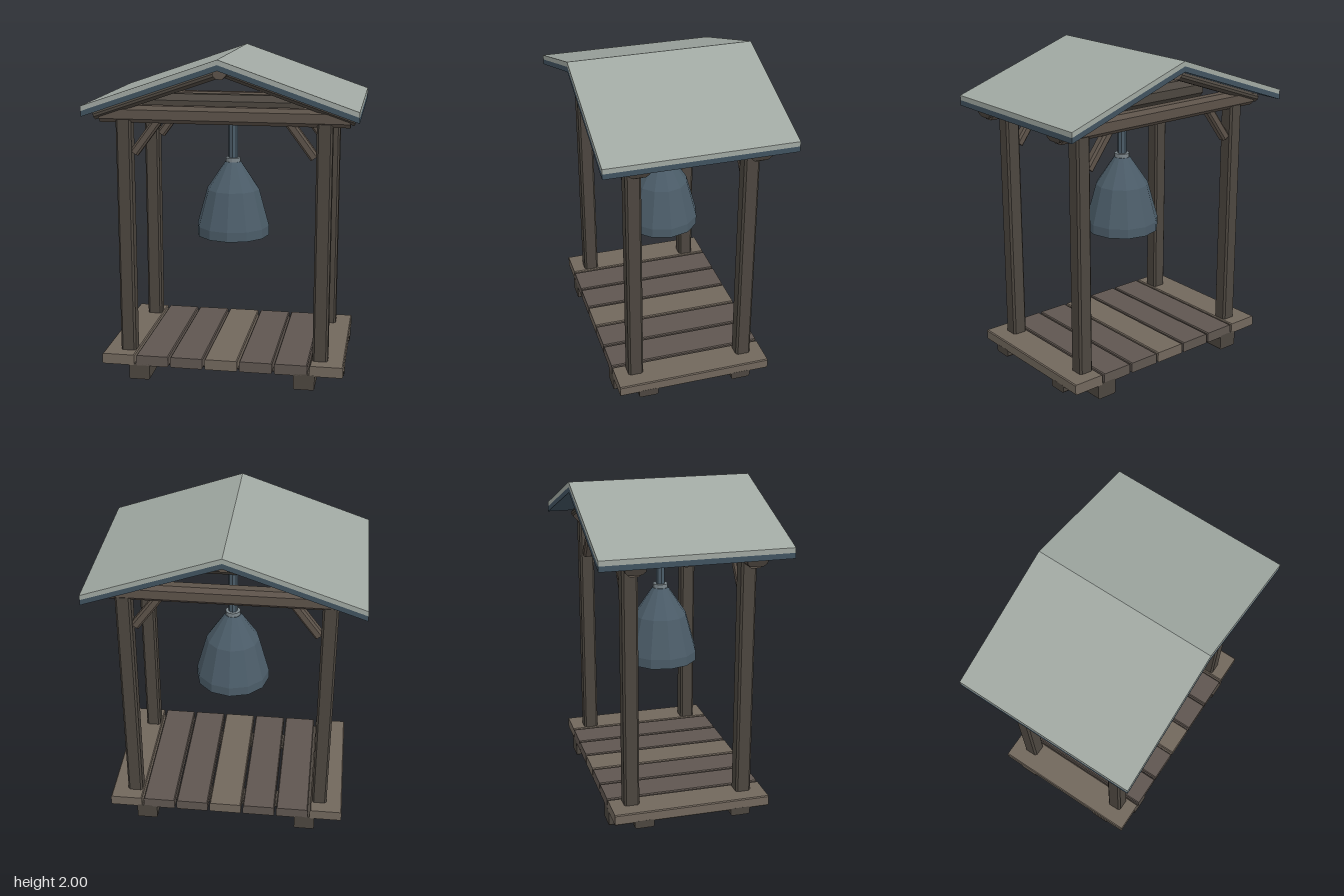
import * as THREE from 'three';

const mat = (color, side = THREE.FrontSide) =>
  new THREE.MeshStandardMaterial({ color, flatShading: true, side });

const WOOD = mat(0x4c463f), BEAM = mat(0x5c5249);
const PLANK_LIGHT = mat(0x71675c), PLANK_DARK = mat(0x5f5650);
const METAL = mat(0x4b5c68, THREE.DoubleSide), COLLAR = mat(0x7c868b);
const ROOF_TOP = mat(0xa0a8a2), ROOF_UNDER = mat(0x40525f);

export function createModel() {
  const model = new THREE.Group();

  const add = (name, geometry, material, parent = model) => {
    const mesh = new THREE.Mesh(geometry, material);
    mesh.name = name;
    parent.add(mesh);
    return mesh;
  };

  // Chamfered bar from a to b; t = thickness across, d = depth
  // (along z for bars lying in the xy plane, along y for bars running in z)
  const bar = (name, a, b, t, d, c, material) => {
    const A = new THREE.Vector3(...a), B = new THREE.Vector3(...b);
    const x = t / 2, y = d / 2;
    const shape = new THREE.Shape([
      [x, c - y], [x, y - c], [x - c, y], [c - x, y],
      [-x, y - c], [-x, c - y], [c - x, -y], [x - c, -y],
    ].map(p => new THREE.Vector2(...p)));
    const geometry = new THREE.ExtrudeGeometry(shape, { depth: A.distanceTo(B), bevelEnabled: false });
    const mesh = add(name, geometry, material);
    mesh.position.copy(A);
    if (a[2] === b[2]) mesh.up.set(0, 0, 1);
    mesh.lookAt(B);
    return mesh;
  };

  // Platform
  for (let i = 0; i < 7; i++) {
    const x = (i - 3) * 0.216;
    bar('floorPlank', [x, 0.123, -0.48], [x, 0.123, 0.48], 0.203, 0.066, 0.006,
      i % 3 === 0 ? PLANK_LIGHT : PLANK_DARK);
  }
  for (const s of [-1, 1]) {
    bar('skid', [s * 0.513, 0.05, -0.48], [s * 0.513, 0.05, 0.48], 0.13, 0.1, 0.006, WOOD);
    bar('crossBeam', [-0.75, 0.077, s * 0.3], [0.75, 0.077, s * 0.3], 0.048, 0.12, 0.008, WOOD);
  }

  // Frame: posts, tie beams, braces and rafters
  const slope = 0.28 / 0.81;
  for (const z of [-0.352, 0.352]) {
    bar('tieBeam', [-0.75, 1.652, z], [0.75, 1.652, z], 0.104, 0.1, 0.024, BEAM);
    for (const s of [-1, 1]) {
      bar('post', [s * 0.603, 0.14, z], [s * 0.603, 1.62, z], 0.094, 0.094, 0.012, WOOD);
      bar('brace', [s * 0.545, 1.415, z], [s * 0.385, 1.63, z], 0.056, 0.06, 0.012, BEAM);
      bar('rafter', [0, 1.912, z], [s * 0.782, 1.912 - 0.782 * slope, z], 0.056, 0.12, 0.02, WOOD);
    }
  }

  // Ridge pole and hanging beam
  const ridge = add('ridgePole', new THREE.CylinderGeometry(0.045, 0.045, 1, 8), BEAM);
  ridge.rotation.set(Math.PI / 2, Math.PI / 8, 0);
  ridge.position.y = 1.922;
  bar('hangingBeam', [-0.63, 1.667, 0], [0.63, 1.667, 0], 0.132, 0.132, 0.038, WOOD);

  // Roof: a light covering over a dark underlayer
  const roofLayer = (name, top, thickness, material) => {
    const shape = new THREE.Shape([
      [-0.81, top - 0.28], [-0.81, top - 0.28 - thickness], [0, top - thickness],
      [0.81, top - 0.28 - thickness], [0.81, top - 0.28], [0, top],
    ].map(p => new THREE.Vector2(...p)));
    add(name, new THREE.ExtrudeGeometry(shape, { depth: 1.13, bevelEnabled: false }), material)
      .position.z = -0.565;
  };
  roofLayer('roofCovering', 2, 0.03, ROOF_TOP);
  roofLayer('roofUnderlayer', 1.97, 0.033, ROOF_UNDER);

  // Bell with a hollow inside, hung on a rod
  const bell = new THREE.Group();
  bell.name = 'bell';
  model.add(bell);
  const profile = [
    [0, 1.27], [0.045, 1.27], [0.145, 1.12], [0.205, 0.9], [0.208, 0.84],
    [0.232, 0.84], [0.232, 0.9], [0.167, 1.135], [0.05, 1.31], [0, 1.31],
  ].map(p => new THREE.Vector2(...p));
  add('bellBody', new THREE.LatheGeometry(profile, 12), METAL, bell);
  add('bellCollar', new THREE.CylinderGeometry(0.047, 0.047, 0.034, 12), COLLAR, bell).position.y = 1.318;
  add('hangingRod', new THREE.CylinderGeometry(0.029, 0.029, 0.32, 8), METAL, bell).position.y = 1.47;
  add('clapperRod', new THREE.CylinderGeometry(0.013, 0.013, 0.4, 6), METAL, bell).position.y = 1.08;
  add('clapperHead', new THREE.CylinderGeometry(0.026, 0.034, 0.07, 8), COLLAR, bell).position.y = 0.88;

  return model;
}
